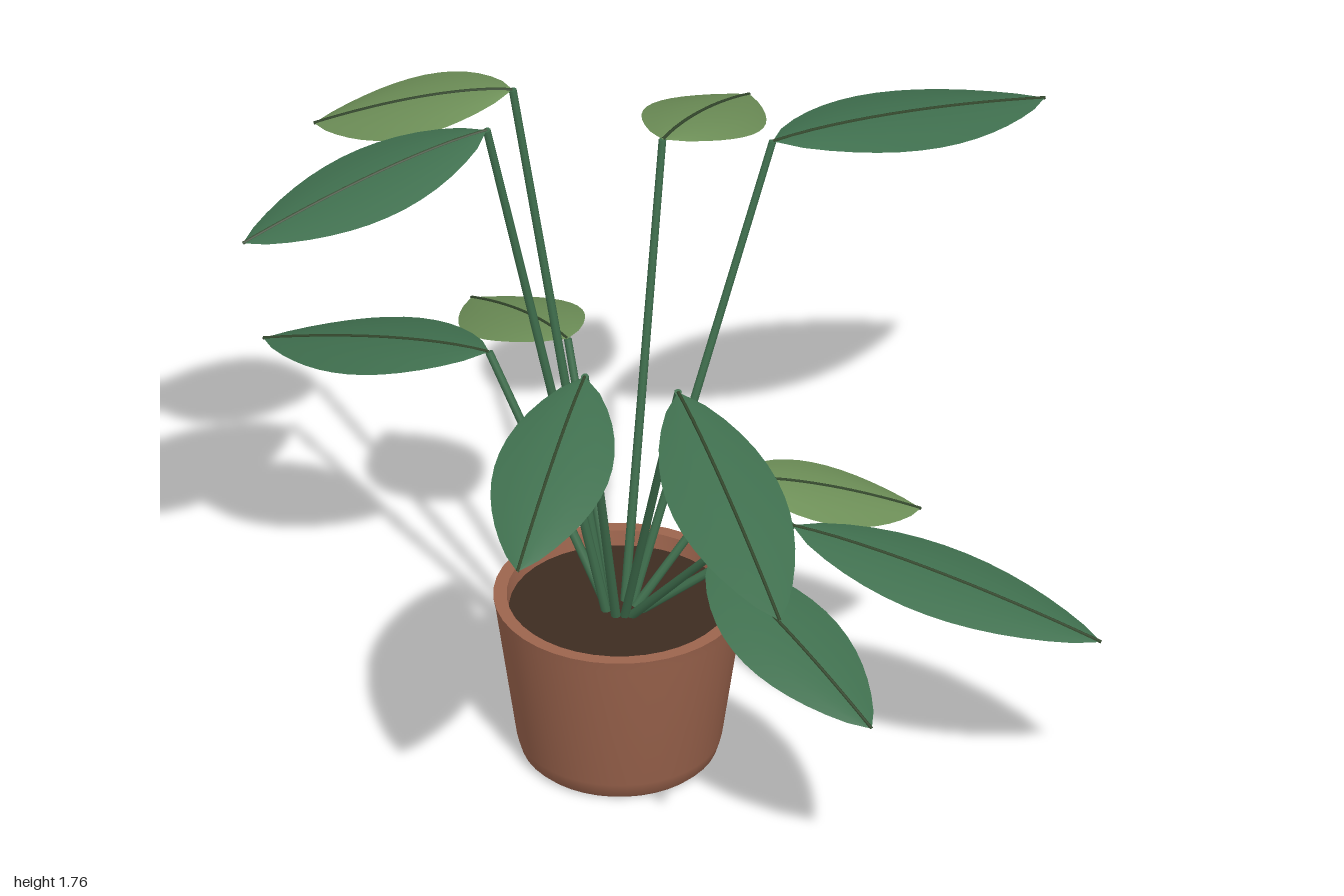
import * as THREE from 'three';
import { toCreasedNormals } from 'three/addons/utils/BufferGeometryUtils.js';

const mat = (name, color, side = THREE.FrontSide) => {
  const m = new THREE.MeshStandardMaterial({ color, side });
  m.name = name;
  return m;
};

const CX = -0.09, CZ = -0.23; // pot axis
const HALF_WIDTH = 0.133, DROOP = 0.15, FOLD = 0.024;

// Leaves: base x, base z, tip x, tip z, base height, young (lighter) leaf
const LEAVES = [
  [0.17, -0.235, 0.61, -0.235, 0.68, true],
  [0.26, -0.02, 0.88, 0.385, 0.68, false],
  [0.05, 0.06, 0.295, 0.605, 0.68, false],
  [-0.335, -0.47, -0.765, -0.86, 0.95, false],
  [-0.15, -0.48, -0.27, -0.91, 0.95, true],
  [-0.05, 0.17, 0.01, 0.905, 1.215, false],
  [-0.24, 0.06, -0.52, 0.575, 1.215, false],
  [0.3, -0.375, 0.99, -0.62, 1.485, false],
  [0.06, -0.44, 0.345, -0.79, 1.485, true],
  [-0.41, -0.18, -1, -0.08, 1.755, false],
  [-0.315, -0.325, -0.73, -0.515, 1.755, true],
];

// Height of the midline below the leaf base
const sag = (t) => -DROOP * Math.pow(t, 1.5);

// Arched blade running along +x, folded down towards both edges
function bladeGeometry(length) {
  const rows = 14, cols = 6;
  const geo = new THREE.PlaneGeometry(1, 1, rows, cols);
  const p = geo.attributes.position;
  for (let i = 0; i < p.count; i++) {
    const t = p.getX(i) + 0.5;
    const u = -2 * p.getY(i);
    const w = Math.pow(Math.max(0, Math.sin(Math.PI * Math.pow(t, 0.93))), 0.8);
    p.setXYZ(i, t * length, sag(t) - FOLD * w * u * u, u * w * HALF_WIDTH);
  }
  geo.computeVertexNormals();
  return geo;
}

// Fine vein following the midline
function midribGeometry(length) {
  const pts = [];
  for (let i = 0; i <= 8; i++) {
    const t = i / 8;
    pts.push(new THREE.Vector3(t * length, sag(t), 0));
  }
  return new THREE.TubeGeometry(new THREE.CatmullRomCurve3(pts), 14, 0.004, 5);
}

// Straight rod between two points
function rod(a, b, r0, r1, material) {
  const d = b.clone().sub(a);
  const mesh = new THREE.Mesh(new THREE.CylinderGeometry(r1, r0, d.length(), 8), material);
  mesh.position.copy(a).addScaledVector(d, 0.5);
  mesh.quaternion.setFromUnitVectors(new THREE.Vector3(0, 1, 0), d.normalize());
  return mesh;
}

export function createModel() {
  const terracotta = mat('terracotta', 0x9c644d);
  const earth = mat('soil', 0x3d2c21);
  const darkLeaf = mat('darkLeaf', 0x40704f, THREE.DoubleSide);
  const youngLeaf = mat('youngLeaf', 0x6f9159, THREE.DoubleSide);
  const stemGreen = mat('stemGreen', 0x3f6e4d);
  const vein = mat('vein', 0x35492e);

  const model = new THREE.Group();
  model.name = 'pottedPlant';

  // Pot with bevelled foot and open rim
  const profile = [
    [0, 0], [0.21, 0], [0.222, 0.012], [0.232, 0.045], [0.28, 0.385], [0.285, 0.412],
    [0.255, 0.412], [0.246, 0.35],
  ].map(([r, y]) => new THREE.Vector2(r, y));
  const pot = new THREE.Mesh(
    toCreasedNormals(new THREE.LatheGeometry(profile, 40), Math.PI / 5), terracotta);
  pot.name = 'pot';
  pot.position.set(CX, 0, CZ);
  model.add(pot);

  // Soil disc
  const soil = new THREE.Mesh(new THREE.CylinderGeometry(0.25, 0.246, 0.02, 40), earth);
  soil.name = 'soil';
  soil.position.set(CX, 0.365, CZ);
  model.add(soil);

  // Stems, each carrying one leaf
  LEAVES.forEach(([bx, bz, tx, tz, y, young], i) => {
    const base = new THREE.Vector3(bx, y, bz);
    const out = new THREE.Vector3(bx - CX, 0, bz - CZ).normalize();
    const root = new THREE.Vector3(CX, 0.36, CZ).addScaledVector(out, 0.03);
    const stem = rod(root, base, 0.011, 0.009, stemGreen);
    stem.name = `stem${i + 1}`;
    model.add(stem);

    const length = Math.hypot(tx - bx, tz - bz);
    const leaf = new THREE.Group();
    leaf.name = `leaf${i + 1}`;
    const blade = new THREE.Mesh(bladeGeometry(length), young ? youngLeaf : darkLeaf);
    blade.name = 'blade';
    const midrib = new THREE.Mesh(midribGeometry(length), vein);
    midrib.name = 'midrib';
    leaf.add(blade, midrib);
    leaf.position.copy(base);
    leaf.rotation.y = Math.atan2(-(tz - bz), tx - bx);
    model.add(leaf);
  });

  return model;
}
